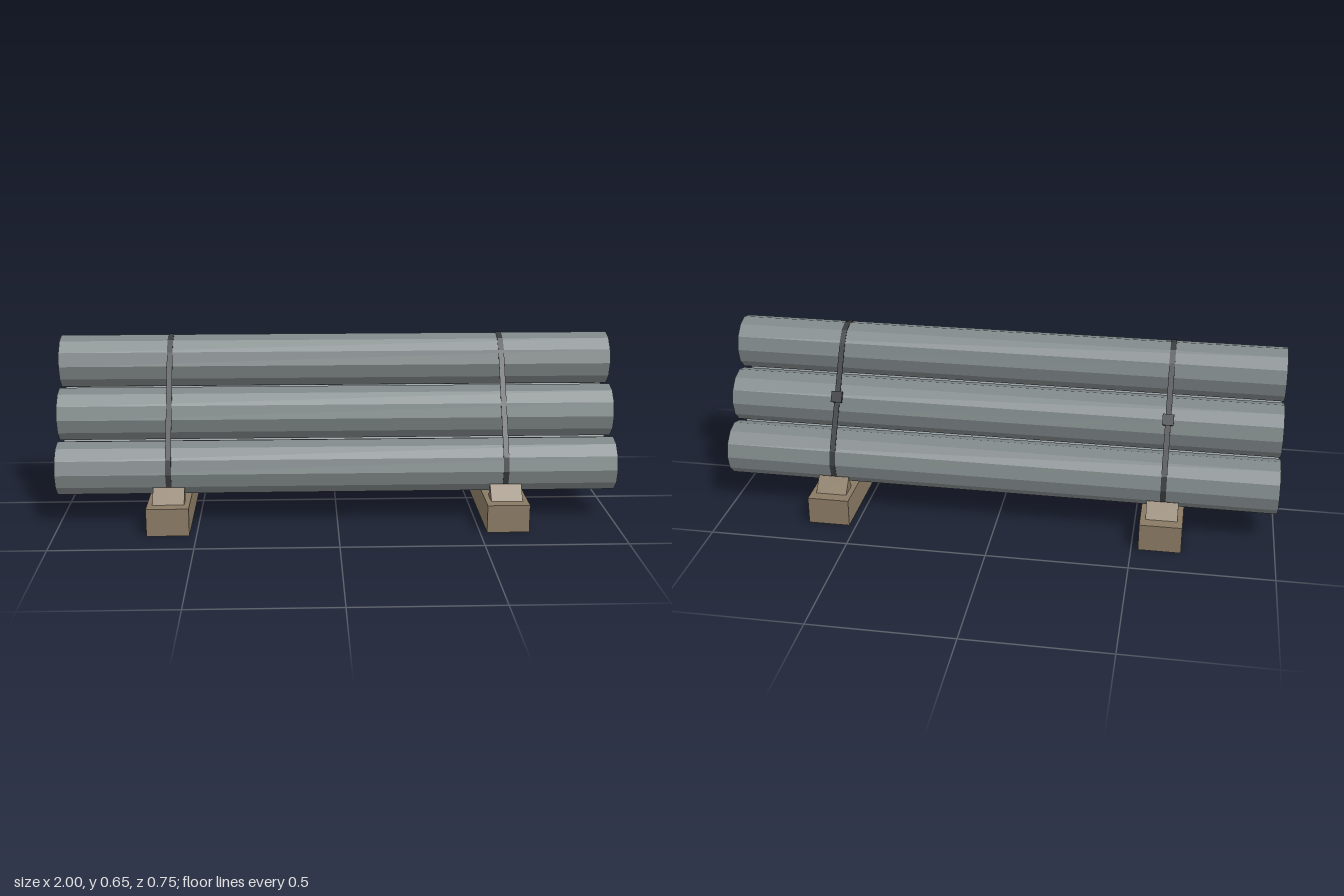
import * as THREE from 'three';

const PIPE_R = 0.0975, WALL = 0.0045, SPACING = 0.2;
const ROW_H = SPACING * Math.sin(Math.PI / 3);
const BASE_Y = 0.2;

// Points on a 12-sided ring, from step a to step b (30 degrees each)
function arc(cx, cy, r, a, b) {
  const pts = [];
  for (let i = a; i <= b; i++) {
    const t = i * Math.PI / 6;
    pts.push(new THREE.Vector2(cx + r * Math.cos(t), cy + r * Math.sin(t)));
  }
  return pts;
}

// Extrude an end profile along x, centred on x = 0
function extrudeX(outer, hole, length) {
  const shape = new THREE.Shape(outer);
  if (hole) shape.holes.push(new THREE.Path(hole));
  const geo = new THREE.ExtrudeGeometry(shape, { depth: length, bevelEnabled: false });
  return geo.translate(0, 0, -length / 2).rotateY(Math.PI / 2);
}

// Outline of a band pulled tight round the three corner pipes
function bandOutline(r) {
  return [
    ...arc(SPACING, BASE_Y, r, -3, 1),
    ...arc(0, BASE_Y + 2 * ROW_H, r, 1, 5),
    ...arc(-SPACING, BASE_Y, r, 5, 9),
  ];
}

export function createModel() {
  const model = new THREE.Group();
  model.name = 'pipeStack';
  const material = (name, color) => {
    const m = new THREE.MeshStandardMaterial({ color });
    m.name = name;
    return m;
  };
  const steel = material('pipeSteel', 0x7f8788);
  const wood = material('timber', 0x8a7a64);
  const dark = material('darkStrap', 0x393c3e);

  const add = (parent, name, geo, mat, x = 0, y = 0, z = 0) => {
    const mesh = new THREE.Mesh(geo, mat);
    mesh.name = name;
    mesh.position.set(x, y, z);
    parent.add(mesh);
    return mesh;
  };

  // Pyramid of six hollow pipes: 3, 2, 1
  const pipeGeo = extrudeX(arc(0, 0, PIPE_R, 0, 11), arc(0, 0, PIPE_R - WALL, 0, 11), 2);
  for (let row = 0; row < 3; row++) {
    const count = 3 - row;
    for (let i = 0; i < count; i++) {
      add(model, 'pipe', pipeGeo, steel, 0, BASE_Y + row * ROW_H, (i - (count - 1) / 2) * SPACING);
    }
  }

  // Two supports, each with a bearer, wedges, strap and buckle
  const bearerGeo = new THREE.BoxGeometry(0.15, 0.1, 0.75);
  const wedgeGeo = side => extrudeX([
    new THREE.Vector2(side * 0.26, 0.1),
    new THREE.Vector2(side * 0.332, 0.1),
    new THREE.Vector2(side * 0.286, 0.15),
  ], null, 0.112);
  const wedges = [wedgeGeo(1), wedgeGeo(-1)];
  const strapGeo = extrudeX(bandOutline(0.1), bandOutline(0.0978), 0.02);
  const buckleGeo = new THREE.BoxGeometry(0.04, 0.04, 0.01);

  for (const x of [-0.6, 0.6]) {
    const support = new THREE.Group();
    support.name = 'support';
    support.position.x = x;
    model.add(support);
    add(support, 'bearer', bearerGeo, wood, 0, 0.05, 0);
    for (const geo of wedges) add(support, 'wedge', geo, wood);
    add(support, 'strap', strapGeo, dark);
    // Buckle lies along the sloping back run of the strap
    add(support, 'buckle', buckleGeo, dark, 0, 0.427, -0.192).rotation.x = Math.PI / 6;
  }
  return model;
}
